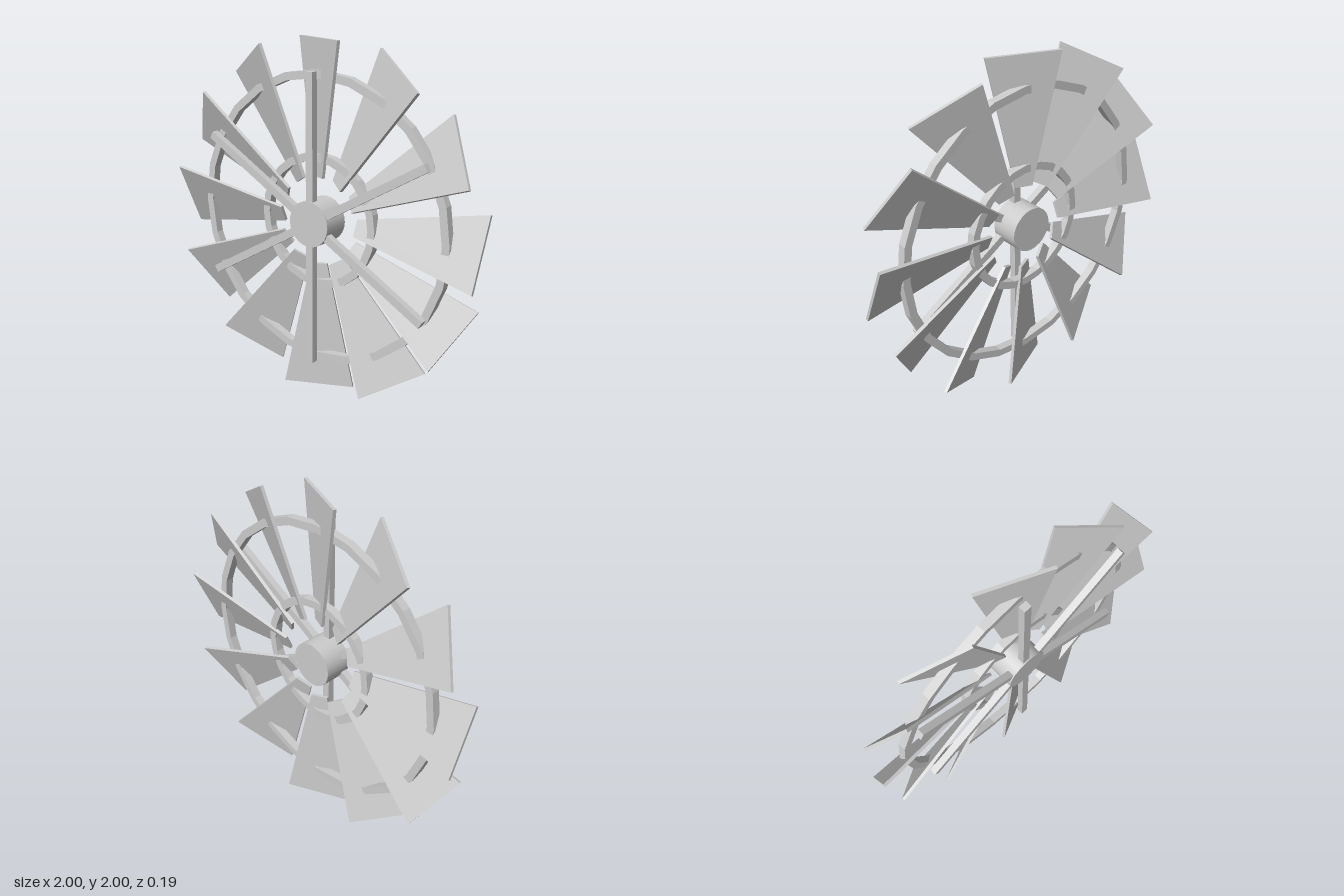
import * as THREE from 'three';

const BLADES = 12, SPOKES = 6;
const CENTER_Z = -0.003;

// Regular polygon outline as 2D points
function polygon(radius, sides) {
  return Array.from({ length: sides }, (_, i) => {
    const a = (i / sides) * Math.PI * 2;
    return new THREE.Vector2(Math.cos(a) * radius, Math.sin(a) * radius);
  });
}

// Flat faceted ring with a rectangular section, centred in depth
function ringGeometry(inner, outer, depth) {
  const shape = new THREE.Shape(polygon(outer, 24));
  shape.holes.push(new THREE.Path(polygon(inner, 24).reverse()));
  return new THREE.ExtrudeGeometry(shape, { depth, bevelEnabled: false }).translate(0, 0, -depth / 2);
}

// Tapered plate along +y, pitched about its own length
function bladeGeometry() {
  const inner = 0.25, outer = 1, innerHalf = 0.048, outerHalf = 0.204;
  const geo = new THREE.BoxGeometry(2, outer - inner, 0.018).translate(0, (outer + inner) / 2, 0);
  const p = geo.attributes.position;
  for (let i = 0; i < p.count; i++) {
    p.setX(i, p.getX(i) * (p.getY(i) > 0.6 ? outerHalf : innerHalf));
  }
  geo.rotateY(THREE.MathUtils.degToRad(-24));
  geo.computeVertexNormals();
  return geo;
}

export function createModel() {
  const metal = new THREE.MeshStandardMaterial({ color: 0xcccccc });
  metal.name = 'pale grey metal';

  const model = new THREE.Group();
  model.name = 'windWheel';
  const wheel = new THREE.Group();
  wheel.name = 'wheel';
  wheel.position.y = 1;
  model.add(wheel);

  const add = (name, geometry, z, angle = 0) => {
    const mesh = new THREE.Mesh(geometry, metal);
    mesh.name = name;
    mesh.position.z = z;
    mesh.rotation.z = angle;
    wheel.add(mesh);
  };

  // Pitched blades
  const blade = bladeGeometry();
  for (let i = 0; i < BLADES; i++) add('blade', blade, CENTER_Z, (i / BLADES) * Math.PI * 2);

  // Spokes in front of the blades
  const spoke = new THREE.BoxGeometry(0.045, 0.75, 0.04).translate(0, 0.455, 0);
  for (let i = 0; i < SPOKES; i++) add('spoke', spoke, 0.067, (i / SPOKES) * Math.PI * 2);

  // Rings running through the blades
  add('outerRing', ringGeometry(0.79, 0.835, 0.048), CENTER_Z);
  add('innerRing', ringGeometry(0.34, 0.385, 0.048), CENTER_Z);

  // Hub
  add('hub', new THREE.CylinderGeometry(0.13, 0.13, 0.163, 24).rotateX(Math.PI / 2), 0.0135);

  return model;
}
